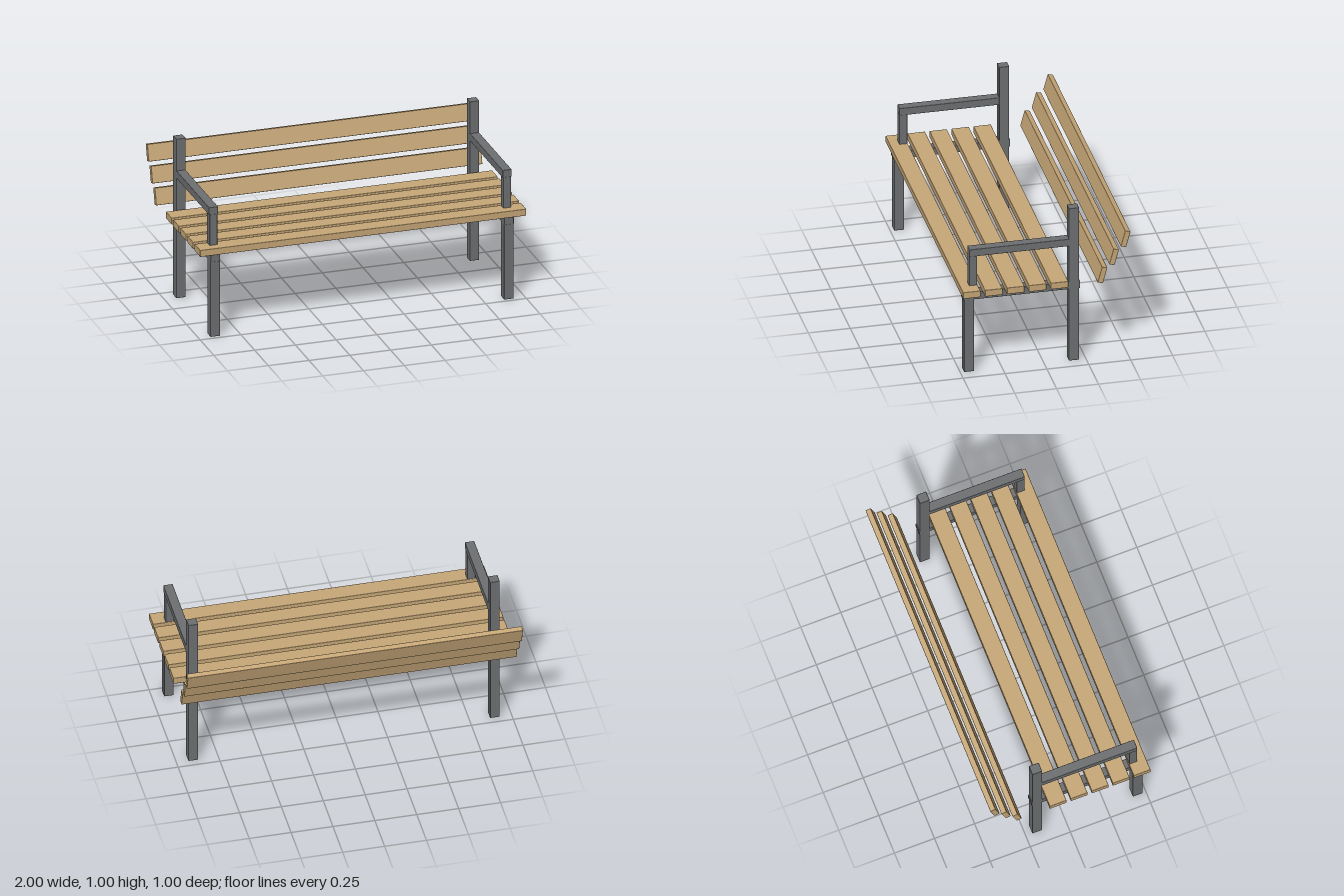
import * as THREE from 'three';
import { RoundedBoxGeometry } from 'three/addons/geometries/RoundedBoxGeometry.js';

export function createModel() {
  const group = new THREE.Group();
  const wood = new THREE.MeshStandardMaterial({ color: 0xc8a878 });
  wood.name = 'wood';
  const steel = new THREE.MeshStandardMaterial({ color: 0x6e7072 });
  steel.name = 'greySteel';

  // Box with slightly eased edges
  const box = (name, parent, material, [w, h, d], [x, y, z]) => {
    const mesh = new THREE.Mesh(new RoundedBoxGeometry(w, h, d, 1, 0.003), material);
    mesh.name = name;
    mesh.position.set(x, y, z);
    parent.add(mesh);
    return mesh;
  };

  // Bar given by its side outline: z and y ranges
  const bar = (name, parent, width, [z0, z1], [y0, y1]) =>
    box(name, parent, steel, [width, y1 - y0, z1 - z0], [0, (y0 + y1) / 2, (z0 + z1) / 2]);

  // Two steel end frames
  for (const side of [-1, 1]) {
    const frame = new THREE.Group();
    frame.name = side > 0 ? 'leftFrame' : 'rightFrame';
    frame.position.x = side * 0.9;
    bar('frontLeg', frame, 0.058, [0.418, 0.478], [0, 0.475]);
    bar('backPost', frame, 0.058, [-0.209, -0.148], [0, 1]);
    bar('seatRail', frame, 0.058, [-0.214, 0.484], [0.471, 0.519]);
    bar('armSupport', frame, 0.048, [0.398, 0.446], [0.515, 0.755]);
    bar('armrest', frame, 0.056, [-0.16, 0.446], [0.753, 0.8]);
    group.add(frame);
  }

  // Seat slats, front to back
  for (let i = 0; i < 5; i++) {
    box('seatSlat', group, wood, [2, 0.042, 0.104], [0, 0.541, 0.448 - i * 0.131]);
  }

  // Backrest slats, leaning backwards
  for (let i = 0; i < 3; i++) {
    const slat = box('backSlat', group, wood, [2, 0.103, 0.033],
      [0, 0.578 + i * 0.1105, -0.332 - i * 0.069]);
    slat.rotation.x = -Math.PI / 12;
  }

  return group;
}
